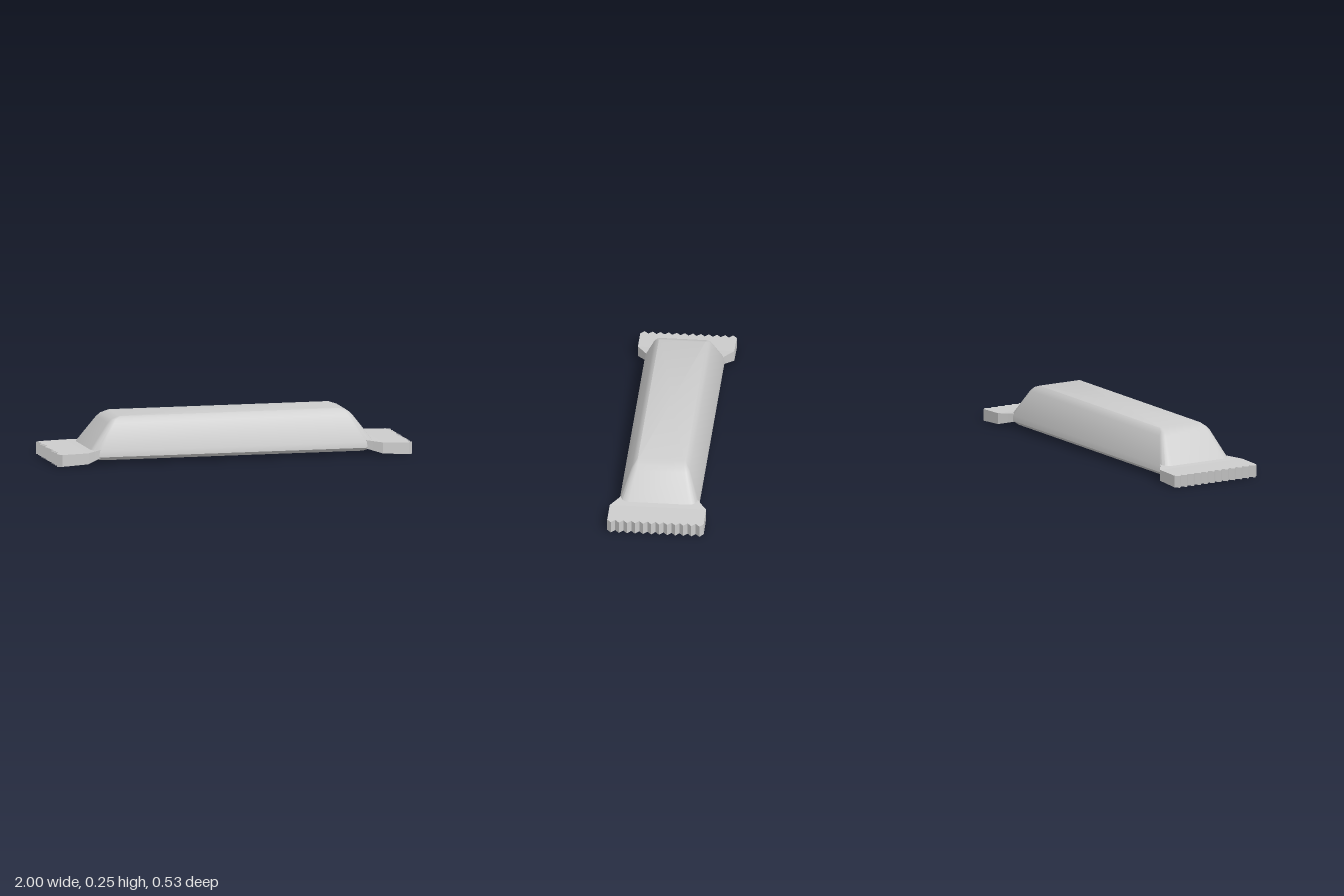
import * as THREE from 'three';
import { toCreasedNormals } from 'three/addons/utils/BufferGeometryUtils.js';

const wrapperGrey = new THREE.MeshStandardMaterial({ color: 0xcccccc });
wrapperGrey.name = 'wrapperGrey';

// Stacked rounded rectangles: [y, half length, half width, corner radius]
const bodyRings = [
  [0.02, 0.75, 0.2, 0.03],
  [0.038, 0.8, 0.218, 0.05],
  [0.07, 0.797, 0.216, 0.05],
  [0.215, 0.688, 0.16, 0.03],
  [0.235, 0.665, 0.145, 0.02],
  [0.25, 0.62, 0.13, 0.006],
];

function bodyGeometry() {
  const steps = 4;
  const n = 4 * (steps + 1);
  const pos = [];
  const index = [];
  for (const [y, hx, hz, r] of bodyRings) {
    for (let q = 0; q < 4; q++) {
      const sx = q === 0 || q === 3 ? 1 : -1;
      const sz = q < 2 ? 1 : -1;
      for (let s = 0; s <= steps; s++) {
        const a = (q + s / steps) * Math.PI / 2;
        pos.push(sx * (hx - r) + r * Math.cos(a), y, sz * (hz - r) + r * Math.sin(a));
      }
    }
  }
  const last = bodyRings.length - 1;
  for (let i = 0; i < last; i++) {
    for (let j = 0; j < n; j++) {
      const a = i * n + j, b = i * n + (j + 1) % n;
      index.push(a, a + n, b, b, a + n, b + n);
    }
  }
  // Flat underside and top
  const bottom = pos.length / 3;
  pos.push(0, bodyRings[0][0], 0, 0, bodyRings[last][0], 0);
  for (let j = 0; j < n; j++) {
    const k = (j + 1) % n;
    index.push(bottom, j, k, bottom + 1, last * n + k, last * n + j);
  }
  const g = new THREE.BufferGeometry();
  g.setAttribute('position', new THREE.Float32BufferAttribute(pos, 3));
  g.setIndex(index);
  return toCreasedNormals(g, 0.55);
}

// Flat plate whose underside and top follow height rules along x
function plateGeometry(points, bottomAt, topAt) {
  const shape = new THREE.Shape(points.map(([x, z]) => new THREE.Vector2(x, z)));
  const g = new THREE.ExtrudeGeometry(shape, { depth: 1, bevelEnabled: false });
  g.rotateX(-Math.PI / 2);
  const p = g.attributes.position;
  for (let i = 0; i < p.count; i++) {
    const x = p.getX(i);
    p.setY(i, p.getY(i) > 0.5 ? topAt(x) : bottomAt(x));
  }
  g.computeVertexNormals();
  return g;
}

function mesh(name, geometry) {
  const m = new THREE.Mesh(geometry, wrapperGrey);
  m.name = name;
  return m;
}

export function createModel() {
  const model = new THREE.Group();
  model.name = 'wrappedBar';
  model.add(mesh('wrapperBody', bodyGeometry()));

  // Crimped seal with a zigzag outer edge
  const teeth = 12, half = 0.265;
  const outline = [[0.83, -half]];
  for (let i = 0; i <= teeth * 2; i++) {
    outline.push([i % 2 ? 1 : 0.976, -half + (half * i) / teeth]);
  }
  outline.push([0.83, half]);
  const seal = plateGeometry(outline, x => (1 - x) * 0.06, x => 0.066 + (1 - x) * 0.03);

  // Pinched neck joining seal and body
  const neckOutline = [
    [0.72, -0.195], [0.78, -0.232], [0.83, -half],
    [0.83, half], [0.78, 0.232], [0.72, 0.195],
  ];
  const neck = plateGeometry(
    neckOutline,
    x => 0.0102 + (0.83 - x) * 0.28,
    x => 0.0711 + (0.83 - x) * 0.1,
  );

  for (const side of ['left', 'right']) {
    const end = new THREE.Group();
    end.name = side + 'End';
    end.add(mesh(side + 'Seal', seal), mesh(side + 'Neck', neck));
    if (side === 'right') end.rotation.y = Math.PI;
    model.add(end);
  }
  return model;
}
